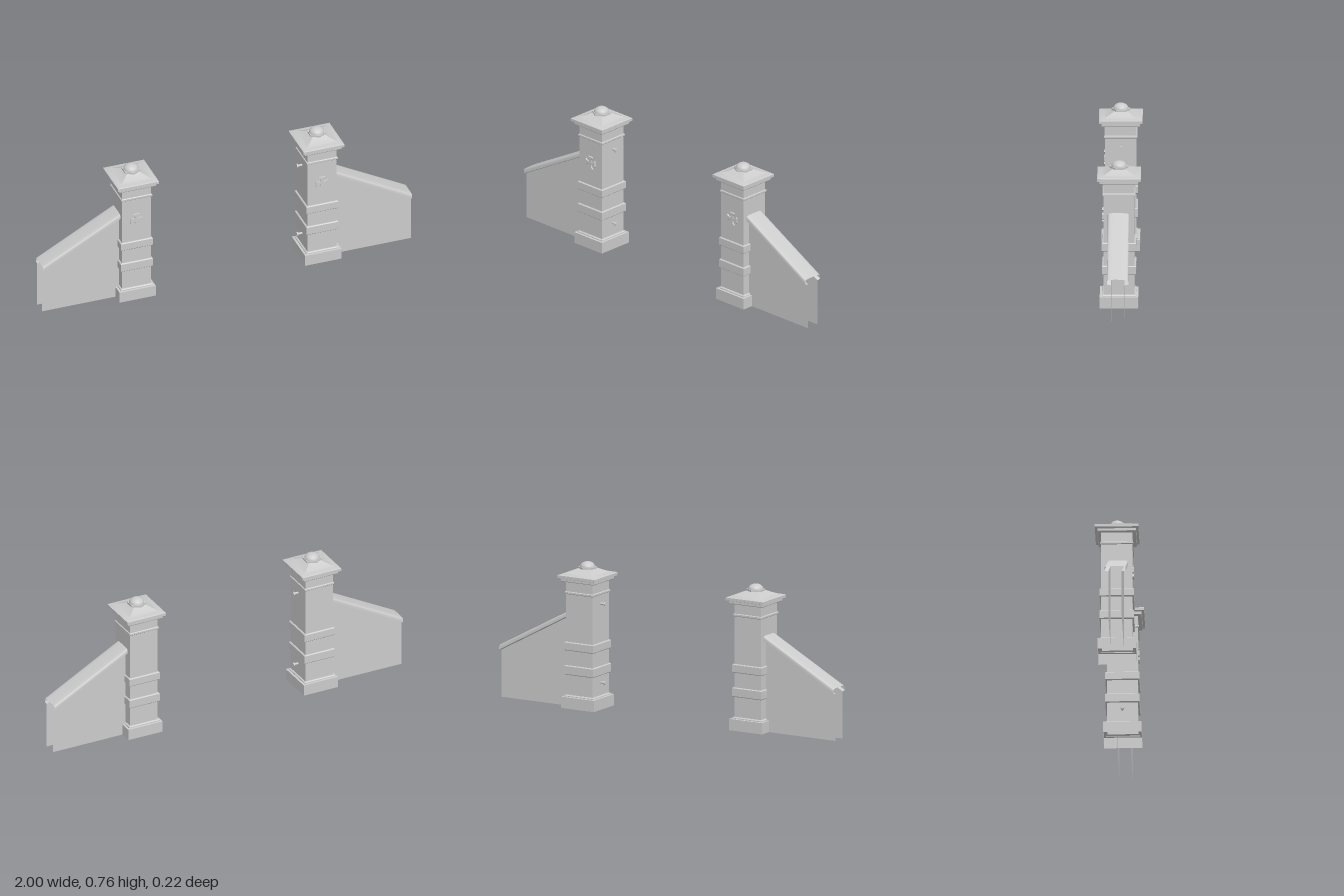
import * as THREE from 'three';
import { toCreasedNormals } from 'three/addons/utils/BufferGeometryUtils.js';

const stone = new THREE.MeshStandardMaterial({ color: 0xcccccc, side: THREE.DoubleSide });
const PILLAR_X = 0.503, WALL_Z = 0.003;

function add(parent, name, geometry, x = 0, y = 0, z = 0) {
  const mesh = new THREE.Mesh(geometry, stone);
  mesh.name = name;
  mesh.position.set(x, y, z);
  parent.add(mesh);
  return mesh;
}

// Square moulding: a profile of [half width, y] turned through four sides
function squareTurned(profile) {
  const points = profile.map(([w, y]) => new THREE.Vector2(w * Math.SQRT2, y));
  const geometry = new THREE.LatheGeometry(points, 4).rotateY(Math.PI / 4);
  return toCreasedNormals(geometry, 0.45);
}

// Raised band with bevelled edges between two heights
const band = (y0, y1, w, b) => [[0.079, y0], [w - b, y0], [w, y0 + b], [w, y1 - b], [w - b, y1], [0.079, y1]];

// Cross with four flared arms
function crossGeometry() {
  const shape = new THREE.Shape();
  const arm = [[0.007, 0.007], [0.009, 0.02], [0.017, 0.031], [0.012, 0.035], [-0.012, 0.035], [-0.017, 0.031], [-0.009, 0.02]];
  const points = [];
  for (let i = 0; i < 4; i++) {
    for (const [x, y] of arm) {
      points.push(new THREE.Vector2(x, y).rotateAround(new THREE.Vector2(), i * Math.PI / 2));
    }
  }
  shape.setFromPoints(points);
  return new THREE.ExtrudeGeometry(shape, {
    depth: 0.005, bevelEnabled: true, bevelThickness: 0.002, bevelSize: 0.001, bevelSegments: 1,
  });
}

// Hollow sloping coping, swept from the pillar to the outer end
function copingGeometry(side, inner, outer) {
  const half = [[0.034, 0], [0.054, 0.004], [0.054, 0.02], [0.052, 0.025], [0.047, 0.028], [0.036, 0.0295], [0.018, 0.03]];
  const profile = [...half, ...half.map(([z, y]) => [-z, y]).reverse()];
  const geometry = new THREE.PlaneGeometry(1, 1, profile.length - 1, 1);
  [inner, outer].forEach(([x, y], row) => profile.forEach(([pz, py], i) => {
    geometry.attributes.position.setXYZ(row * profile.length + i, side * x, y + py, side * pz);
  }));
  return toCreasedNormals(geometry, 0.7);
}

function buildPillar(side) {
  const pillar = new THREE.Group();
  pillar.name = side > 0 ? 'leftPillar' : 'rightPillar';
  pillar.position.x = side * PILLAR_X;

  // Base, shaft and bands, open underneath
  add(pillar, 'shaft', squareTurned([
    [0.098, 0], [0.098, 0.059], [0.087, 0.06], [0.087, 0.064], [0.083, 0.068], [0.079, 0.069],
    ...band(0.173, 0.222, 0.087, 0.004),
    ...band(0.299, 0.344, 0.087, 0.004),
    ...band(0.592, 0.606, 0.084, 0.003),
    [0.079, 0.658],
  ]));

  // Stepped cap with a concave roof
  const roof = [];
  for (let i = 0; i <= 8; i++) {
    const t = i / 8;
    roof.push([0.108 - 0.072 * t, 0.693 + 0.012 * t + 0.016 * t * t]);
  }
  add(pillar, 'cap', squareTurned([
    [0.079, 0.658], [0.096, 0.658], [0.098, 0.661], [0.098, 0.673], [0.101, 0.677],
    [0.111, 0.677], [0.111, 0.691], ...roof, [0, 0.721],
  ]));

  // Finial
  add(pillar, 'finialPlate', toCreasedNormals(new THREE.CylinderGeometry(0.048, 0.048, 0.009, 6), 0.5), 0, 0.7245, 0);
  const dome = new THREE.SphereGeometry(0.039, 20, 8, 0, Math.PI * 2, 0, Math.PI / 2).scale(1, 0.72, 1);
  add(pillar, 'finialDome', dome, 0, 0.728, 0);

  // Front ornament
  add(pillar, 'cross', crossGeometry(), 0, 0.469, 0.079);

  // Hinge pins on the gateway side
  for (const y of [0.135, 0.545]) {
    const pin = new THREE.Group();
    pin.name = 'hingePin';
    pin.position.set(-side * 0.079, y, 0);
    pin.rotation.z = side * Math.PI / 2;
    add(pin, 'pinStem', new THREE.CylinderGeometry(0.006, 0.006, 0.026, 12), 0, 0.013, 0);
    add(pin, 'pinHead', new THREE.CylinderGeometry(0.011, 0.011, 0.007, 12), 0, 0.0265, 0);
    pillar.add(pin);
  }
  return pillar;
}

function buildWall(side) {
  const wall = new THREE.Group();
  wall.name = side > 0 ? 'leftWall' : 'rightWall';
  wall.position.z = WALL_Z;
  const inner = [0.575, 0.475], outer = [1, 0.245];

  // Two thin faces with a hollow between
  const outline = [[inner[0], 0], [outer[0], 0], outer, inner];
  const face = new THREE.Shape(outline.map(([x, y]) => new THREE.Vector2(side * x, y)));
  add(wall, 'frontFace', new THREE.ShapeGeometry(face), 0, 0, 0.034);
  add(wall, 'backFace', new THREE.ShapeGeometry(face).rotateY(Math.PI).scale(-1, 1, 1), 0, 0, -0.034);
  add(wall, 'coping', copingGeometry(side, inner, outer));
  return wall;
}

export function createModel() {
  const model = new THREE.Group();
  model.name = 'gatePillars';
  for (const side of [1, -1]) model.add(buildPillar(side), buildWall(side));
  return model;
}
